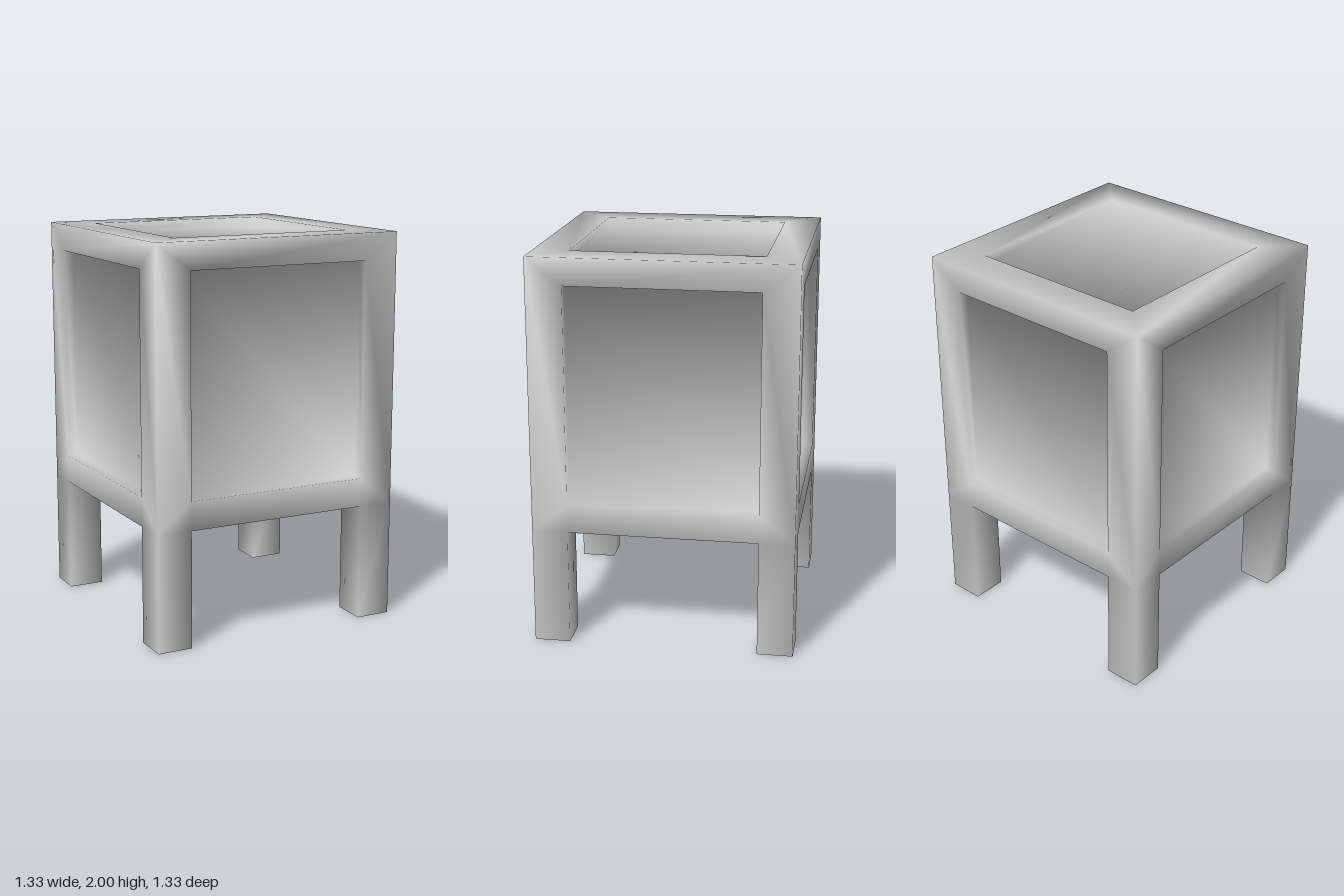
import * as THREE from 'three';

const W = 0.664;       // half width of the body
const I = 0.482;       // half width of the openings
const FLOOR = 0.6, TOP = 2;
const SILL = 0.748, LINTEL = 1.862;
const DEPTH = 0.052;   // how far the panels sit back

const material = new THREE.MeshStandardMaterial({ color: 0xcccccc, side: THREE.DoubleSide });

// Triangle or quad, corners counter-clockwise seen from outside.
function addFace(out, ...corners) {
  for (let i = 1; i < corners.length - 1; i++) out.push(corners[0], corners[i], corners[i + 1]);
}

// Walls between two rings of four corners
function addBand(out, ringA, ringB) {
  for (let i = 0; i < 4; i++) {
    const j = (i + 1) % 4;
    addFace(out, ringA[i], ringA[j], ringB[j], ringB[i]);
  }
}

function rectangle(place, u, v0, v1, depth) {
  return [[-u, v0], [u, v0], [u, v1], [-u, v1]].map(([a, b]) => place(a, b, depth));
}

// Inner walls of an opening and the set-back panel behind it
function addPanel(frame, panels, inner, back) {
  addBand(frame, inner, back);
  addFace(panels, back[1], back[2], back[3], back[0]);
}

// Side of the body: posts run on into the legs, rails sit between them
function addSide(frame, panels, place) {
  const outer = rectangle(place, W, FLOOR, TOP, 0);
  const inner = rectangle(place, I, SILL, LINTEL, 0);
  const footLeft = place(-I, FLOOR, 0), footRight = place(I, FLOOR, 0);
  for (const i of [1, 2, 3]) {
    const j = (i + 1) % 4;
    addFace(frame, outer[i], outer[j], inner[j], inner[i]);
  }
  addFace(frame, footLeft, footRight, inner[1], inner[0]);
  addFace(frame, outer[0], footLeft, inner[0]);
  addFace(frame, footRight, outer[1], inner[1]);
  addPanel(frame, panels, inner, rectangle(place, I, SILL, LINTEL, DEPTH));
}

function addTop(frame, panels) {
  const place = (u, v, depth) => [u, TOP - depth, -v];
  const inner = rectangle(place, I, -I, I, 0);
  addBand(frame, rectangle(place, W, -W, W, 0), inner);
  addPanel(frame, panels, inner, rectangle(place, I, -I, I, DEPTH));
}

// Underside, left open where the hollow legs join
function addUnderside(out) {
  const g = [-W, -I, I, W];
  for (let i = 0; i < 3; i++) {
    for (let j = 0; j < 3; j++) {
      if (i !== 1 && j !== 1) continue;
      addFace(out, [g[i], FLOOR, g[j]], [g[i + 1], FLOOR, g[j]],
        [g[i + 1], FLOOR, g[j + 1]], [g[i], FLOOR, g[j + 1]]);
    }
  }
}

// Hollow square leg, open at the bottom
function addLeg(out, sx, sz) {
  const c = (W + I) / 2, h = (W - I) / 2;
  const ring = y => [[-h, h], [h, h], [h, -h], [-h, -h]].map(([x, z]) => [sx * c + x, y, sz * c + z]);
  addBand(out, ring(0), ring(FLOOR));
}

const key = p => p.map(n => Math.round(n * 1000)).join();

// Corner normals shared by all parts, weighted by angle, for soft pillowy shading
function sharedNormals(parts) {
  const normals = new Map();
  for (const points of Object.values(parts)) {
    for (let t = 0; t < points.length; t += 3) {
      const v = points.slice(t, t + 3).map(p => new THREE.Vector3(...p));
      const normal = new THREE.Triangle(...v).getNormal(new THREE.Vector3());
      for (let i = 0; i < 3; i++) {
        const a = v[(i + 1) % 3].clone().sub(v[i]), b = v[(i + 2) % 3].clone().sub(v[i]);
        const k = key(points[t + i]);
        if (!normals.has(k)) normals.set(k, new THREE.Vector3());
        normals.get(k).addScaledVector(normal, a.angleTo(b));
      }
    }
  }
  for (const n of normals.values()) n.normalize();
  return normals;
}

export function createModel() {
  const parts = {
    frame: [], panels: [], underside: [],
    frontLeftLeg: [], frontRightLeg: [], backLeftLeg: [], backRightLeg: [],
  };
  for (let k = 0; k < 4; k++) {
    const c = Math.round(Math.cos(k * Math.PI / 2)), s = Math.round(Math.sin(k * Math.PI / 2));
    addSide(parts.frame, parts.panels, (u, y, depth) => {
      const z = W - depth;
      return [u * c + z * s, y, -u * s + z * c];
    });
  }
  addTop(parts.frame, parts.panels);
  addUnderside(parts.underside);
  addLeg(parts.frontLeftLeg, 1, 1);
  addLeg(parts.frontRightLeg, -1, 1);
  addLeg(parts.backLeftLeg, 1, -1);
  addLeg(parts.backRightLeg, -1, -1);

  const model = new THREE.Group();
  model.name = 'panelledStand';
  const normals = sharedNormals(parts);
  for (const [name, points] of Object.entries(parts)) {
    const geometry = new THREE.BufferGeometry();
    geometry.setAttribute('position', new THREE.Float32BufferAttribute(points.flat(), 3));
    const n = points.flatMap(p => normals.get(key(p)).toArray());
    geometry.setAttribute('normal', new THREE.Float32BufferAttribute(n, 3));
    const mesh = new THREE.Mesh(geometry, material);
    mesh.name = name;
    model.add(mesh);
  }
  return model;
}
